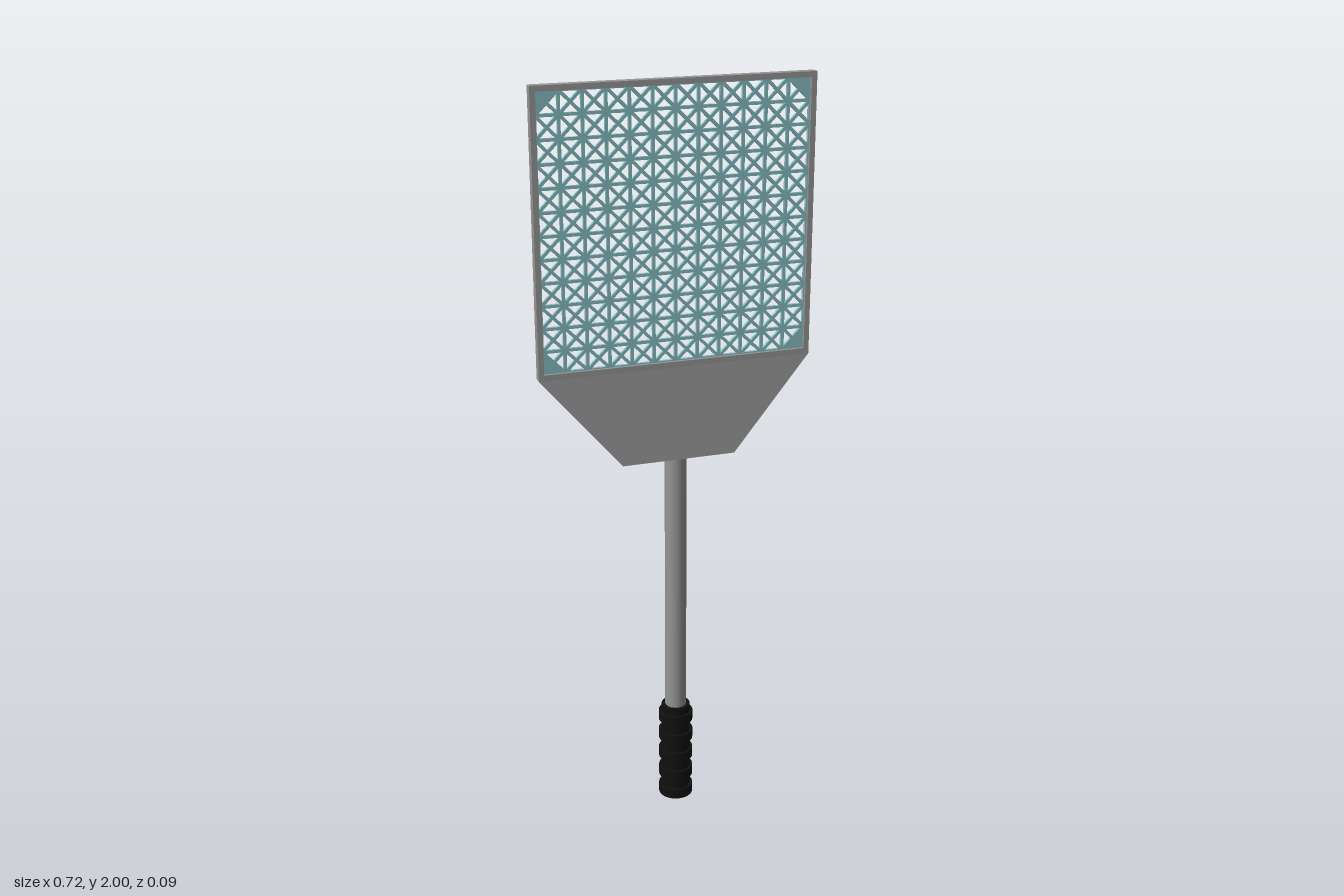
import * as THREE from 'three';

const metal = new THREE.MeshStandardMaterial({ color: 0x959595 });
metal.name = 'grey metal';
const teal = new THREE.MeshStandardMaterial({ color: 0x86bcc2 });
teal.name = 'teal plastic';
const rubber = new THREE.MeshStandardMaterial({ color: 0x101010 });
rubber.name = 'black rubber';

// Closed rectangle as a list of points
const rect = (x, y0, y1) => [[-x, y0], [x, y0], [x, y1], [-x, y1]].map(p => new THREE.Vector2(...p));

// Plate centred on z = 0
function plate(shape, depth) {
  const geo = new THREE.ExtrudeGeometry(shape, { depth, bevelEnabled: false });
  return geo.translate(0, 0, -depth / 2);
}

// Lattice of square cells, each crossed by two diagonals
function latticeGeometry(x, y0, y1, n, halfBar) {
  const shape = new THREE.Shape(rect(x, y0, y1));
  const cw = 2 * x / n, ch = (y1 - y0) / n;
  const apex = halfBar * Math.SQRT2;
  const dirs = [[1, 0], [0, 1], [-1, 0], [0, -1]];
  for (let i = 0; i < n; i++) for (let j = 0; j < n; j++) {
    const cx = -x + (i + 0.5) * cw, cy = y0 + (j + 0.5) * ch;
    const cornerCell = (i === 0 || i === n - 1) && (j === 0 || j === n - 1);
    for (const [dx, dy] of dirs) {
      // Corner cells stay solid on their outer half
      const outward = dx * (i === 0 ? -1 : 1) + dy * (j === 0 ? -1 : 1) > 0;
      if (cornerCell && outward) continue;
      const base = (dx ? cw : ch) / 2 - halfBar;
      const w = base - apex;
      const pts = [[apex, 0], [base, -w], [base, w]].map(([a, b]) =>
        new THREE.Vector2(cx + a * dx - b * dy, cy + a * dy + b * dx));
      shape.holes.push(new THREE.Path(pts.reverse()));
    }
  }
  return plate(shape, 0.008);
}

export function createModel() {
  const model = new THREE.Group();
  model.name = 'swatter';
  const add = (name, geo, mat) => {
    const mesh = new THREE.Mesh(geo, mat);
    mesh.name = name;
    model.add(mesh);
    return mesh;
  };

  // Square head frame
  const frame = new THREE.Shape(rect(0.362, 1.275, 2));
  frame.holes.push(new THREE.Path(rect(0.348, 1.29, 1.986).reverse()));
  add('headFrame', plate(frame, 0.024), metal);

  // Mesh inside the frame
  add('lattice', latticeGeometry(0.349, 1.289, 1.987, 12, 0.004), teal);

  // Neck: box that widens and thins towards the head
  const neck = new THREE.BoxGeometry(2, 0.247, 2).translate(0, 1.1515, 0);
  const p = neck.attributes.position;
  for (let i = 0; i < p.count; i++) {
    const top = p.getY(i) > 1.15;
    p.setX(i, p.getX(i) * (top ? 0.362 : 0.152));
    p.setZ(i, p.getZ(i) * (top ? 0.012 : 0.03));
  }
  const flatNeck = neck.toNonIndexed();
  flatNeck.computeVertexNormals();
  add('neck', flatNeck, metal);

  // Shaft
  add('shaft', new THREE.CylinderGeometry(0.029, 0.029, 0.77, 24).translate(0, 0.65, 0), metal);

  // Grip core with raised rings
  add('gripCore', new THREE.CylinderGeometry(0.039, 0.039, 0.283, 24).translate(0, 0.1435, 0), rubber);
  for (let i = 0; i < 5; i++) {
    const ring = new THREE.CylinderGeometry(0.047, 0.047, 0.028, 24);
    add('gripRing', ring.translate(0, 0.014 + i * 0.059, 0), rubber);
  }
  return model;
}
